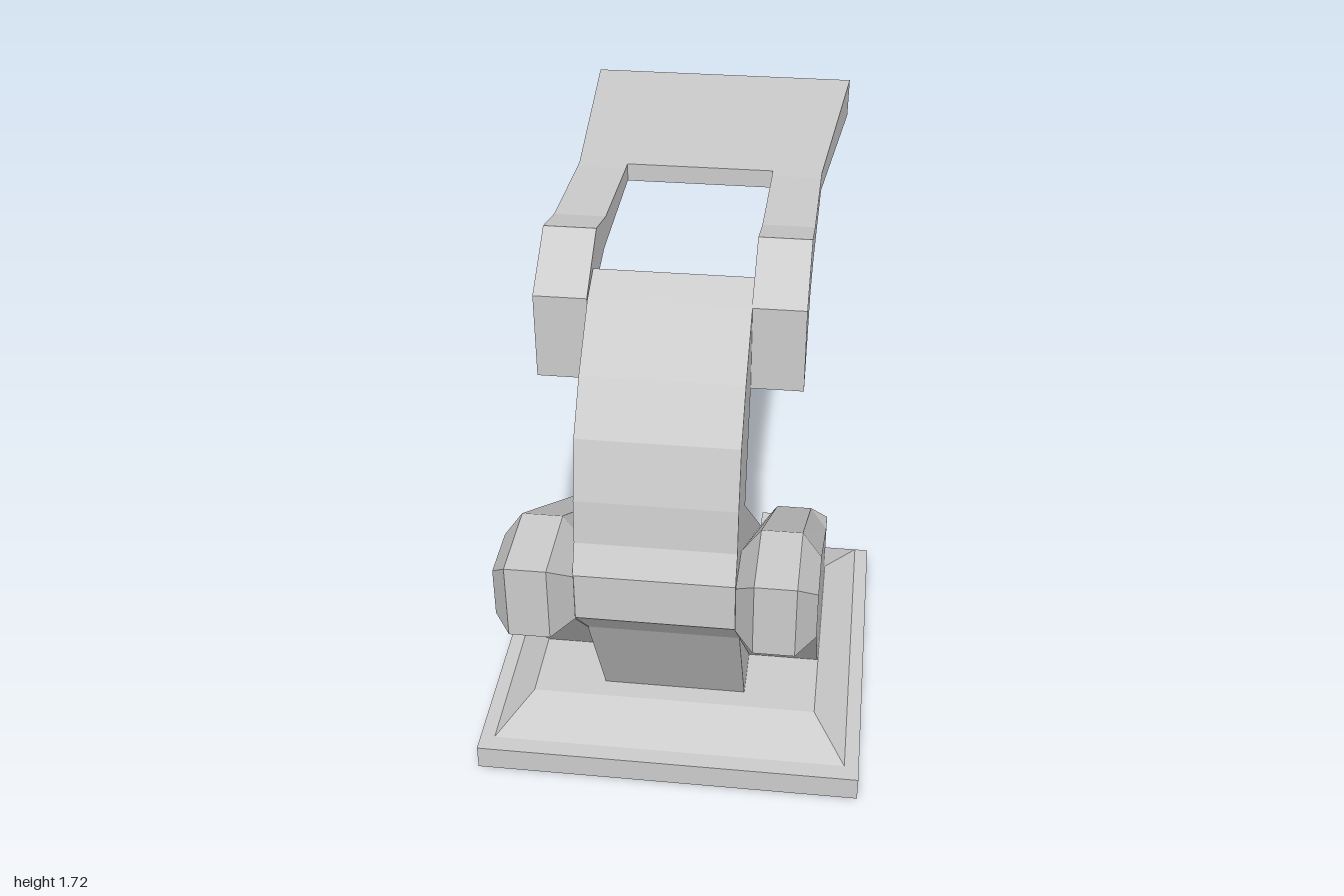
import * as THREE from 'three';

const material = new THREE.MeshStandardMaterial({ color: 0xcccccc, flatShading: true });

function addMesh(parent, name, geometry) {
  const mesh = new THREE.Mesh(geometry, material);
  mesh.name = name;
  parent.add(mesh);
  return mesh;
}

// Side profile of [z, y] points, extruded to a width centred on x = 0
function extrudeProfile(points, width) {
  const shape = new THREE.Shape(points.map(([z, y]) => new THREE.Vector2(z, y)));
  const geometry = new THREE.ExtrudeGeometry(shape, { depth: width, bevelEnabled: false });
  return geometry.translate(0, 0, -width / 2).rotateY(-Math.PI / 2);
}

// Skin over matching rings (clockwise seen from the last ring's end), capped with fans
function loft(rings) {
  const n = rings[0].length;
  const index = [];
  const last = (rings.length - 1) * n;
  for (let i = 0; i < rings.length - 1; i++) {
    for (let j = 0; j < n; j++) {
      const a = i * n + j, b = i * n + ((j + 1) % n);
      index.push(a, b + n, b, a, a + n, b + n);
    }
  }
  for (let j = 1; j < n - 1; j++) {
    index.push(0, j, j + 1, last, last + j + 1, last + j);
  }
  const geometry = new THREE.BufferGeometry();
  geometry.setAttribute('position', new THREE.Float32BufferAttribute(rings.flat(2), 3));
  geometry.setIndex(index);
  const flat = geometry.toNonIndexed();
  flat.computeVertexNormals();
  return flat;
}

export function createModel() {
  const model = new THREE.Group();
  model.name = 'bracketStand';

  // Stepped base plate with a bevelled top
  const rect = (x, back, front, y) => [[-x, y, back], [x, y, back], [x, y, front], [-x, y, front]];
  addMesh(model, 'basePlate', loft([
    rect(0.6, -0.455, 0.745, 0),
    rect(0.6, -0.4, 0.745, 0.08),
    rect(0.555, -0.4, 0.69, 0.08),
    rect(0.45, -0.19, 0.545, 0.16),
  ]));

  // Leaning central spine that curves up into the neck
  const spine = [
    [-0.56, 0], [0.45, 0], [0.48, 0.16], [0.73, 0.61], [0.91, 0.8], [0.91, 0.95],
    [0.865, 1.03], [0.85, 1.16], [0.8, 1.33], [0.69, 1.46], [0.52, 1.6], [0.42, 1.64],
    [0.63, 1.02],
  ];
  addMesh(model, 'spineAndNeck', extrudeProfile(spine, 0.45)).position.x = -0.003;

  // Chamfered side arms: flank profile and raised middle profile, as [z, y]
  const flank = [
    [0.3, 0.16], [0.915, 0.8], [0.915, 0.8], [0.915, 0.95], [0.75, 0.95],
    [-0.12, 0.38], [-0.19, 0.38], [-0.19, 0.16],
  ].reverse();
  const crest = [
    [0.3, 0.16], [0.915, 0.8], [1, 0.8], [1, 1.03], [0.75, 1.03],
    [-0.12, 0.465], [-0.19, 0.38], [-0.19, 0.16],
  ].reverse();
  // start each ring at the lower front corner, from which the whole cap is visible
  for (const p of [flank, crest]) p.unshift(p.pop());
  const ring = (points, x) => points.map(([z, y]) => [x, y, z]).reverse();
  const arm = loft([
    ring(flank, -0.1125), ring(crest, -0.0575), ring(crest, 0.0575), ring(flank, 0.1125),
  ].map((r) => [r[r.length - 1], ...r.slice(0, -1)]));
  for (const [name, side] of [['leftArm', 1], ['rightArm', -1]]) {
    addMesh(model, name, arm).position.x = side * 0.3365 - 0.001;
  }

  // Head: two rails hugging the neck, carrying a widening rear tray
  const head = new THREE.Group();
  head.name = 'head';
  head.position.x = -0.005;
  model.add(head);
  const rail = extrudeProfile([
    [0.52, 1.345], [0.52, 1.6], [0.335, 1.72], [0.18, 1.68], [-0.2, 1.655],
    [-0.235, 1.655], [-0.235, 1.599], [-0.22, 1.6], [0.22, 1.6], [0.36, 1.565],
  ], 0.15);
  for (const [name, side] of [['leftRail', 1], ['rightRail', -1]]) {
    addMesh(head, name, rail).position.x = side * 0.3;
  }

  const tray = extrudeProfile([[-0.235, 1.655], [-0.235, 1.599], [-0.98, 1.535], [-1, 1.655]], 0.75);
  const pos = tray.attributes.position;
  for (let i = 0; i < pos.count; i++) {
    const flare = 1 + 0.16 * (-0.235 - pos.getZ(i)) / 0.765;
    pos.setX(i, pos.getX(i) * flare);
  }
  tray.computeVertexNormals();
  addMesh(head, 'rearTray', tray);

  return model;
}
